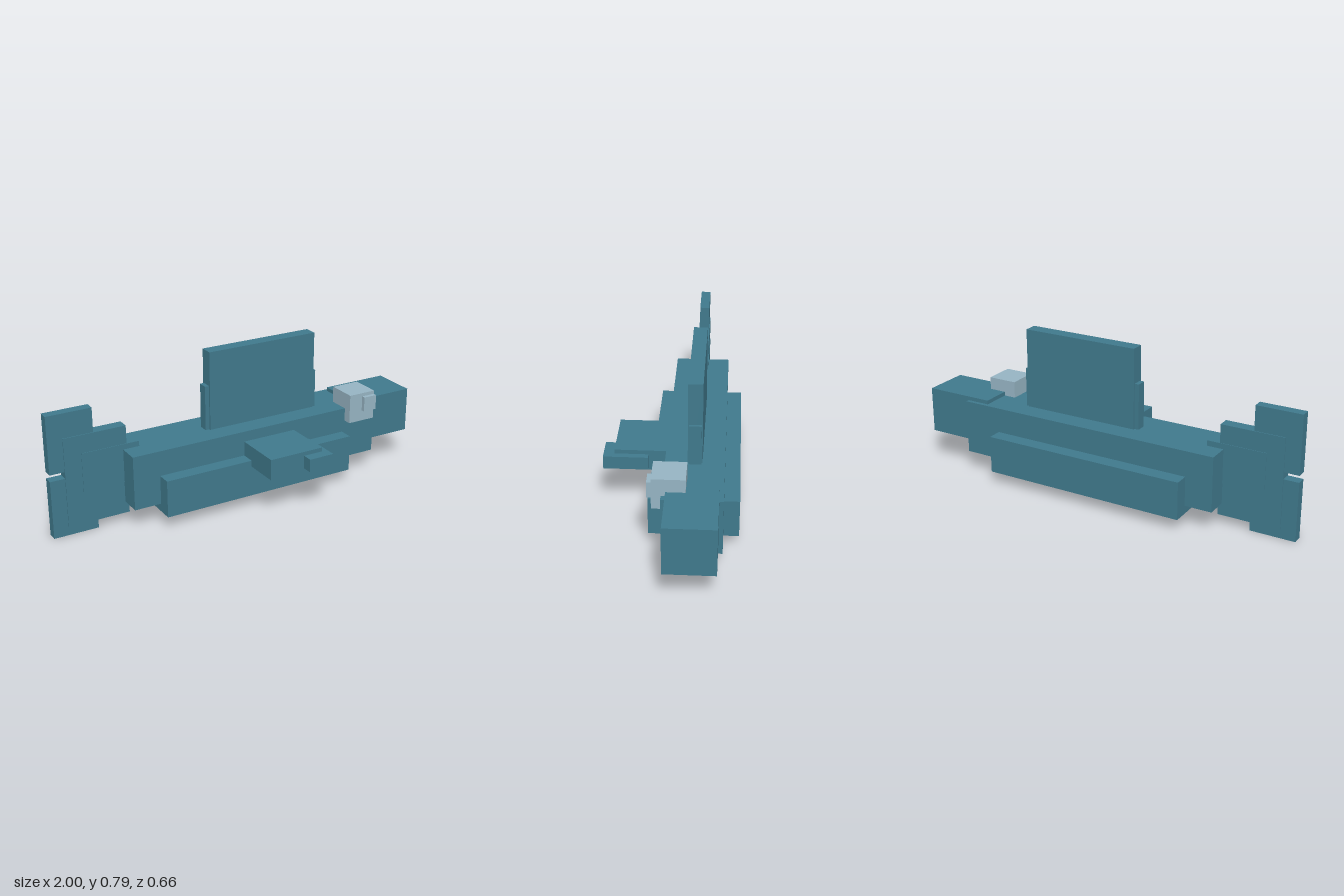
import * as THREE from 'three';

export function createModel() {
  const group = new THREE.Group();
  group.name = 'blockFish';
  const teal = new THREE.MeshStandardMaterial({ color: 0x40798c });
  teal.name = 'teal skin';
  const pale = new THREE.MeshStandardMaterial({ color: 0x96b4c3 });
  pale.name = 'pale eye';

  // Box given by its limits along each axis
  function block(name, [x0, x1], [y0, y1], [z0, z1], material = teal) {
    const mesh = new THREE.Mesh(new THREE.BoxGeometry(x1 - x0, y1 - y0, z1 - z0), material);
    mesh.position.set((x0 + x1) / 2, (y0 + y1) / 2, (z0 + z1) / 2);
    mesh.name = name;
    group.add(mesh);
  }
  // Thin fins lie on the body's centre plane
  const mid = -0.117;
  const thin = (t) => [mid - t / 2, mid + t / 2];

  // Body and head
  block('body', [-0.63, 0.76], [0.105, 0.381], [-0.255, 0.022]);
  block('belly', [-0.492, 0.563], [0.063, 0.253], [-0.328, 0.094]);
  block('head', [0.64, 1], [0.165, 0.401], [-0.235, 0.002]);

  // Dorsal fin with a narrow step at each end
  block('dorsalFin', [-0.16, 0.445], [0.3, 0.785], thin(0.068));
  block('dorsalFinRearStep', [-0.182, 0.1], [0.3, 0.61], thin(0.05));
  block('dorsalFinFrontStep', [0.2, 0.46], [0.3, 0.58], thin(0.058));

  // Side fin
  block('sideFin', [-0.028, 0.263], [0.221, 0.328], [-0.02, 0.275]);
  block('sideFinTip', [0.16, 0.295], [0.241, 0.307], [0.113, 0.328]);

  // Eye
  block('eye', [0.577, 0.728], [0.313, 0.465], [-0.088, 0.065], pale);
  block('pupil', [0.653, 0.727], [0.37, 0.447], [0.01, 0.085], pale);

  // Tail: root, plate and two lobes
  block('tailRoot', [-0.84, -0.546], [0.21, 0.408], thin(0.064));
  block('tailPlate', [-0.925, -0.61], [0.045, 0.5], thin(0.058));
  block('tailUpperLobe', [-1, -0.773], [0.331, 0.623], thin(0.049));
  block('tailLowerLobe', [-1, -0.773], [0, 0.297], thin(0.049));

  return group;
}
